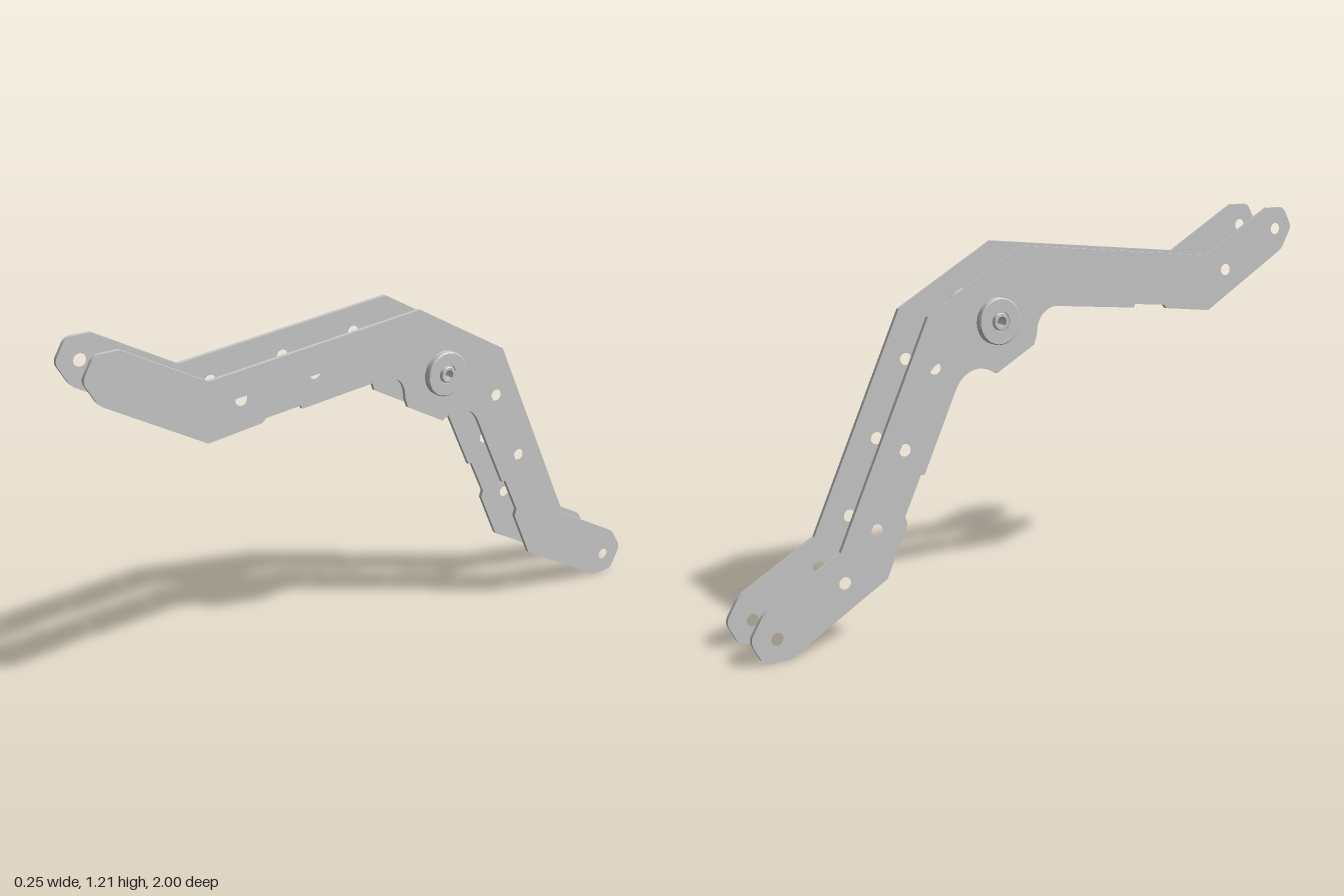
import * as THREE from 'three';
import { toCreasedNormals } from 'three/addons/utils/BufferGeometryUtils.js';

const material = new THREE.MeshStandardMaterial({ color: 0xcccccc });
const AXLE = { z: -0.18, y: 0.925 };
const PLATE_IN = 0.083, PLATE_OUT = 0.096;

// Plate outline as [z, y] corners; four numbers mean a curve [controlZ, controlY, z, y].
const outline = [
  [0.89, 1.213], [0.635, 1.07], [-0.088, 1.144], [-0.416, 0.957], [-0.716, 0.294],
  // lower rear tip
  [-0.945, 0.165], [-0.962, 0.155, -0.97, 0.14], [-0.994, 0.1], [-1.004, 0.083, -0.994, 0.062],
  [-0.972, 0.02], [-0.963, 0.005, -0.945, 0.005], [-0.882, 0.005],
  // underside of the rear arm with its shallow notch
  [-0.566, 0.187], [-0.496, 0.345], [-0.503, 0.368], [-0.448, 0.487], [-0.435, 0.487],
  [-0.326, 0.727], [-0.3, 0.783, -0.244, 0.786], [-0.21, 0.783, -0.18, 0.765],
  // axle lobe
  [-0.046, 0.84], [-0.035, 0.872], [-0.036, 0.925, 0.005, 0.945], [0.018, 0.952, 0.035, 0.952],
  // underside of the front arm with its shallow notch
  [0.315, 0.924], [0.335, 0.922], [0.34, 0.933], [0.458, 0.921], [0.469, 0.909], [0.646, 0.888],
  // upper front tip
  [0.95, 1.065], [0.965, 1.075, 0.972, 1.09], [0.993, 1.128], [1.004, 1.145, 0.994, 1.162],
  [0.974, 1.197], [0.963, 1.213, 0.945, 1.213],
];

const boltHoles = [
  [0.93, 1.142], [0.715, 1.018], [0.536, 0.996], [0.29, 1.024], [0.035, 1.05],
  [-0.395, 0.803], [-0.5, 0.57], [-0.598, 0.342], [-0.705, 0.2], [-0.922, 0.075],
];

function circle(z, y, r) {
  return new THREE.Path().absarc(-z, y, r, 0, Math.PI * 2, true);
}

function plateGeometry() {
  const shape = new THREE.Shape();
  outline.forEach((p, i) => {
    if (i === 0) shape.moveTo(-p[0], p[1]);
    else if (p.length === 2) shape.lineTo(-p[0], p[1]);
    else shape.quadraticCurveTo(-p[0], p[1], -p[2], p[3]);
  });
  shape.closePath();
  for (const [z, y] of boltHoles) shape.holes.push(circle(z, y, 0.019));
  shape.holes.push(circle(AXLE.z, AXLE.y, 0.055));
  const geometry = new THREE.ExtrudeGeometry(shape, {
    depth: PLATE_OUT - PLATE_IN, bevelEnabled: false, curveSegments: 12,
  });
  geometry.rotateY(Math.PI / 2);
  return toCreasedNormals(geometry, 0.5);
}

// Turned part about the x axis from [radius, x] points.
function turned(points) {
  const geometry = new THREE.LatheGeometry(points.map(([r, x]) => new THREE.Vector2(r, x)), 48);
  geometry.rotateZ(-Math.PI / 2);
  return toCreasedNormals(geometry, 0.4);
}

export function createModel() {
  const model = new THREE.Group();
  model.name = 'linkArm';

  // Pair of side plates
  const plate = plateGeometry();
  for (const [name, x] of [['leftPlate', PLATE_IN], ['rightPlate', -PLATE_OUT]]) {
    const mesh = new THREE.Mesh(plate, material);
    mesh.name = name;
    mesh.position.x = x;
    model.add(mesh);
  }

  // Hollow axle with an inner flange and an outer grooved cap at each end
  const half = [
    [0.0355, 0.074], [0.078, 0.074], [0.08, 0.076], [0.08, PLATE_IN], [0.055, PLATE_IN],
    [0.055, PLATE_OUT], [0.071, PLATE_OUT], [0.071, 0.115], [0.068, 0.118], [0.031, 0.118],
    [0.031, 0.112], [0.026, 0.112], [0.026, 0.123], [0.024, 0.125], [0.016, 0.125],
  ];
  const mirrored = half.map(([r, x]) => [r, -x]).reverse();
  const axle = new THREE.Mesh(turned([...mirrored, ...half, mirrored[0]]), material);
  axle.name = 'axle';
  axle.position.set(0, AXLE.y, AXLE.z);
  model.add(axle);

  return model;
}
